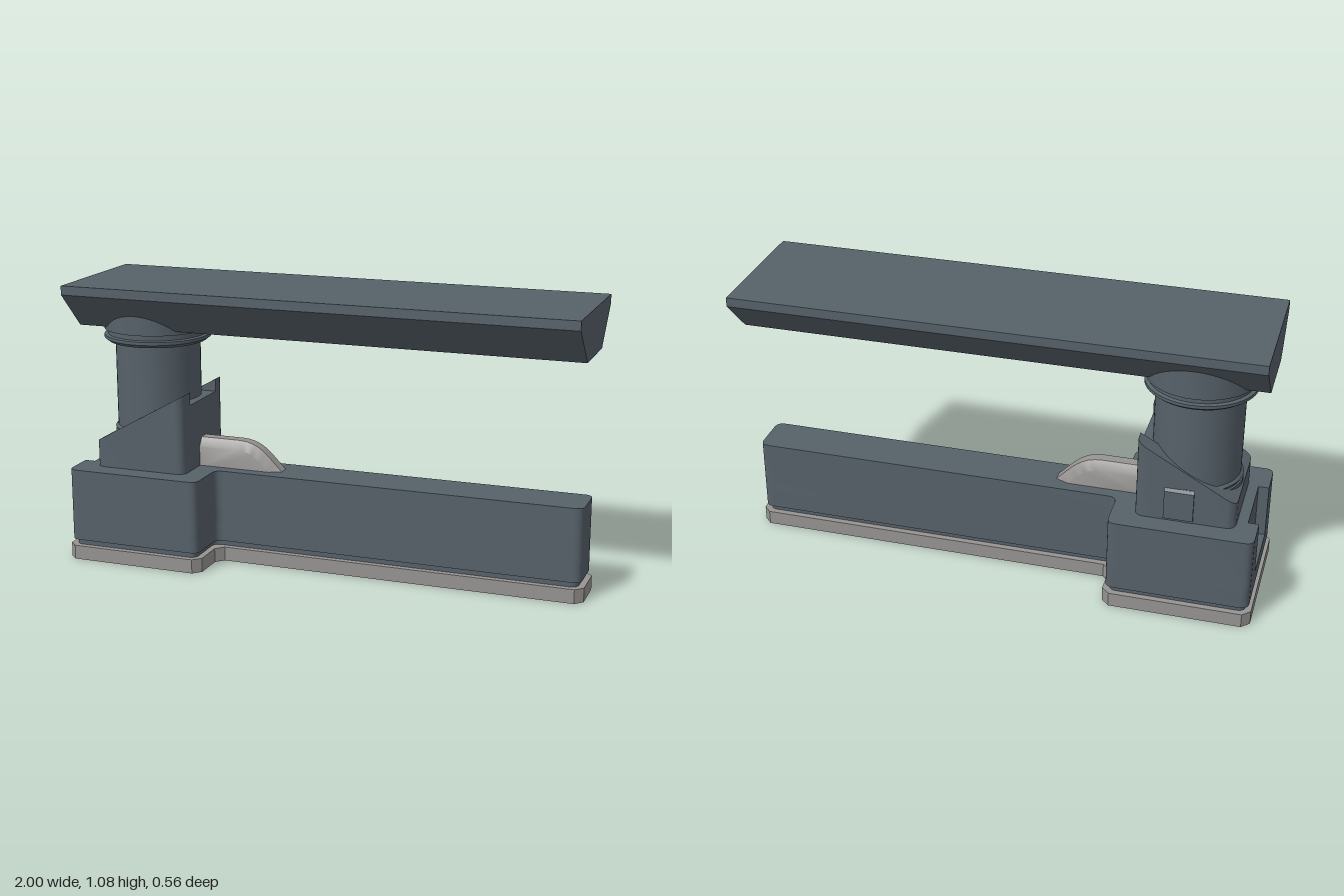
import * as THREE from 'three';
import { toCreasedNormals } from 'three/addons/utils/BufferGeometryUtils.js';

const slate = new THREE.MeshStandardMaterial({ color: 0x566169 });
const grey = new THREE.MeshStandardMaterial({ color: 0x969492 });

// Closed shape from [x, y, cornerRadius] points
function roundedShape(points) {
  const shape = new THREE.Shape();
  const n = points.length;
  points.forEach(([x, y, r = 0], i) => {
    const p = new THREE.Vector2(x, y);
    const toward = (q) => new THREE.Vector2(q[0], q[1]).sub(p).setLength(r).add(p);
    const a = toward(points[(i + n - 1) % n]);
    const b = toward(points[(i + 1) % n]);
    if (i === 0) shape.moveTo(a.x, a.y);
    else shape.lineTo(a.x, a.y);
    if (r > 0) shape.quadraticCurveTo(x, y, b.x, b.y);
  });
  shape.closePath();
  return shape;
}

// Plan shape (x, -z) raised from y0 to y1
function slab(points, y0, y1, curveSegments = 6) {
  const geo = new THREE.ExtrudeGeometry(roundedShape(points), { depth: y1 - y0, bevelEnabled: false, curveSegments });
  return geo.rotateX(-Math.PI / 2).translate(0, y0, 0);
}

// T-shaped plan, shrunk by d, with an optional slot in the wide end
function basePlan(d, r, slot = []) {
  const x = 1 - d, w = 0.28 - d, a = 0.1 - d, j = -0.44 - d;
  return [
    [-x, -w, r], [j, -w, r], [j, -a, r], [x, -a, r],
    [x, a, r], [j, a, r], [j, w, r], [-x, w, r], ...slot,
  ];
}

export function createModel() {
  const group = new THREE.Group();
  const add = (name, geo, material = slate) => {
    const mesh = new THREE.Mesh(toCreasedNormals(geo, 0.6), material);
    mesh.name = name;
    group.add(mesh);
    return mesh;
  };

  // Foot plate, shadow gap and main body
  add('footPlate', slab(basePlan(0, 0.03), 0, 0.055, 1), grey);
  add('shadowGap', slab(basePlan(0.024, 0.03), 0.055, 0.077));
  add('bodyLower', slab(basePlan(0.01, 0.035), 0.077, 0.15));
  const slot = [[-0.99, 0.13], [-0.95, 0.13], [-0.95, -0.13], [-0.99, -0.13]];
  add('bodyUpper', slab(basePlan(0.01, 0.035, slot), 0.15, 0.36));

  // Sloped housing: two side cheeks and a lower-notched middle
  const slope = (x) => 0.46 + (x + 0.91) * 0.56;
  for (const s of [1, -1]) {
    const plan = [[-0.91, 0.12], [-0.535, 0.12], [-0.535, 0.19, 0.04], [-0.91, 0.19, 0.04]];
    if (s < 0) plan.reverse();
    const cheek = slab(plan.map(([x, z, r]) => [x, z * s, r]), 0.36, 0.5);
    const pos = cheek.attributes.position;
    for (let i = 0; i < pos.count; i++) {
      if (pos.getY(i) > 0.45) pos.setY(i, slope(pos.getX(i)));
    }
    add(s > 0 ? 'housingCheekBack' : 'housingCheekFront', cheek);
  }
  const middle = roundedShape([
    [-0.91, 0.36], [-0.535, 0.36], [-0.535, 0.62], [-0.624, 0.62], [-0.91, 0.46],
  ]);
  add('housingMiddle', new THREE.ExtrudeGeometry(middle, { depth: 0.24, bevelEnabled: false }).translate(0, 0, -0.12));

  // Small tab on the back of the housing
  const tab = roundedShape([[0.18, 0.37], [0.198, 0.37], [0.198, 0.485], [0.18, 0.51]]);
  add('housingTab', new THREE.ExtrudeGeometry(tab, { depth: 0.11, bevelEnabled: false })
    .rotateY(Math.PI / 2).translate(-0.755, 0, 0));

  // Column with its collar ring and swivel flange
  const profile = [
    [0, 0.36], [0.175, 0.36], [0.175, 0.482], [0.17, 0.487], [0.17, 0.492], [0.175, 0.497], [0.165, 0.507],
    [0.165, 0.842], [0.19, 0.842], [0.207, 0.855], [0.207, 0.867],
    [0.193, 0.87], [0.193, 0.888], [0.207, 0.891], [0.207, 1.0], [0, 1.0],
  ].map(([r, y]) => new THREE.Vector2(r, y));
  add('column', new THREE.LatheGeometry(profile, 48)).position.set(-0.73, 0, -0.017);

  // Top beam with undercut sides
  const beam = roundedShape([
    [-0.13, 0.905], [0.13, 0.905], [0.27, 1.045], [0.27, 1.08], [-0.27, 1.08], [-0.27, 1.045],
  ]);
  add('topBeam', new THREE.ExtrudeGeometry(beam, { depth: 1.98, bevelEnabled: false })
    .rotateY(Math.PI / 2).translate(-0.99, 0, 0));

  // Thumb lever with chamfered back
  const lever = new THREE.Shape();
  lever.moveTo(-0.6, 0.3);
  lever.lineTo(-0.14, 0.3);
  lever.lineTo(-0.2, 0.36);
  lever.bezierCurveTo(-0.26, 0.42, -0.29, 0.47, -0.38, 0.47);
  lever.lineTo(-0.6, 0.47);
  lever.closePath();
  add('lever', new THREE.ExtrudeGeometry(lever, {
    depth: 0.042, curveSegments: 8, bevelSegments: 1, bevelSize: 0.034, bevelOffset: -0.034, bevelThickness: 0.022,
  }).translate(0, 0, -0.021), grey);

  return group;
}
